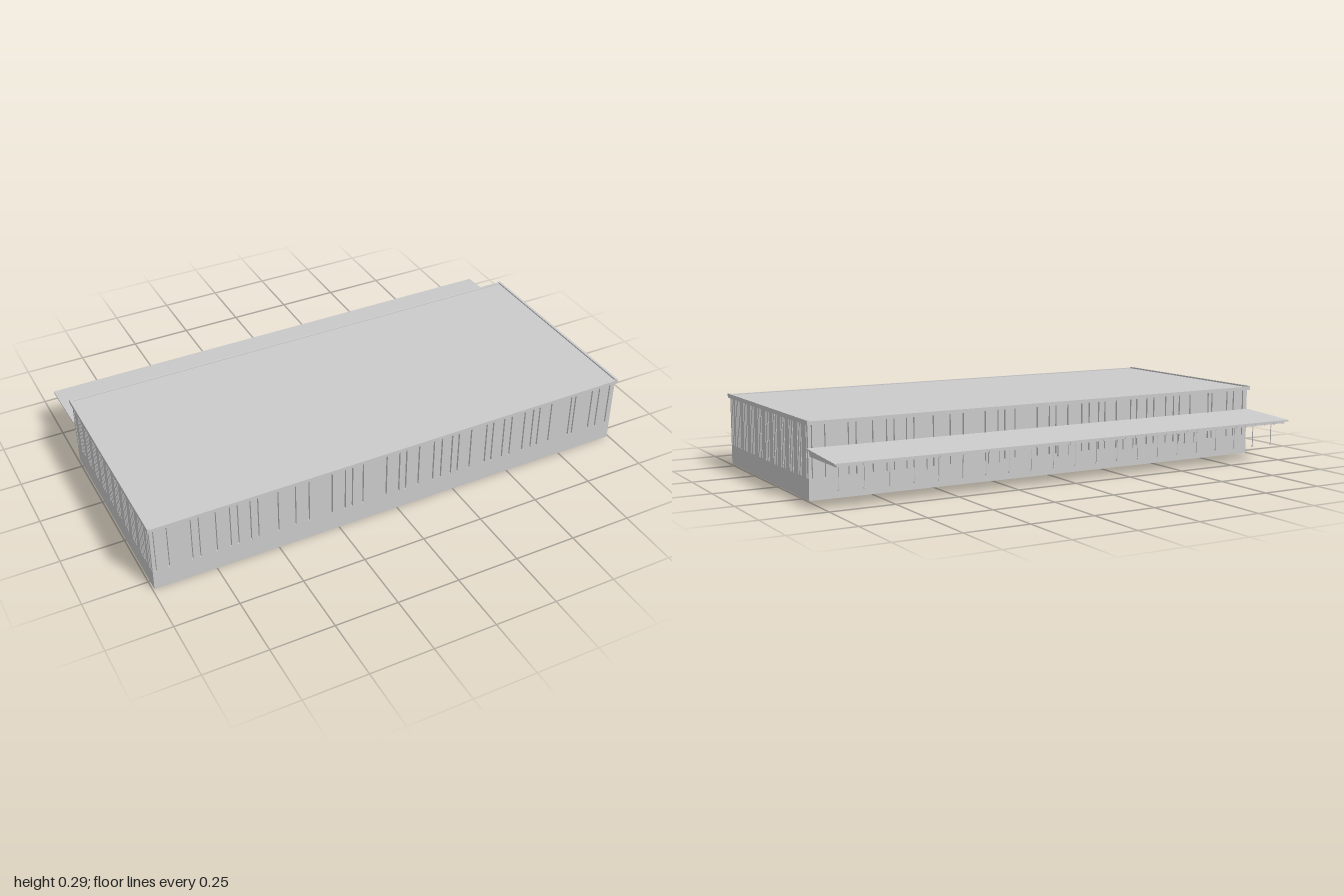
import * as THREE from 'three';

const X = 0.993, ZF = 0.545, ZB = -0.3, BASE = 0.08, TOP = 0.276;
const ZC = (ZF + ZB) / 2, DEPTH = ZF - ZB;

export function createModel() {
  const root = new THREE.Group();
  root.name = 'warehouse';
  const mat = new THREE.MeshStandardMaterial({ color: 0xcccccc, flatShading: true });

  const add = (parent, name, geo, x = 0, y = 0, z = 0) => {
    const m = new THREE.Mesh(geo, mat);
    m.name = name;
    m.position.set(x, y, z);
    parent.add(m);
    return m;
  };
  // box given by its min and max corners
  const box = (parent, name, x0, x1, y0, y1, z0, z1) =>
    add(parent, name, new THREE.BoxGeometry(x1 - x0, y1 - y0, z1 - z0),
      (x0 + x1) / 2, (y0 + y1) / 2, (z0 + z1) / 2);
  const group = (name) => {
    const g = new THREE.Group();
    g.name = name;
    root.add(g);
    return g;
  };

  // One wall, built facing +z with its outer face on z = 0:
  // thin plinth, thicker upper wall and cladding panels split by narrow grooves
  const wall = (name, half, seams) => {
    const g = group(name);
    box(g, 'plinth', -half, half, 0, BASE, -0.015, 0);
    box(g, 'upperWall', -half + 0.01, half - 0.01, BASE, TOP, -0.045, -0.01);
    const gap = 0.003;
    const stops = [-half - gap, ...seams, half + gap];
    for (let i = 0; i < stops.length - 1; i++) {
      box(g, 'claddingPanel', stops[i] + gap, stops[i + 1] - gap, BASE, TOP, -0.011, 0);
    }
    return g;
  };

  const longSeams = [-0.98, -0.93, -0.84, -0.81, -0.745, -0.69, -0.66, -0.61, -0.58, -0.5, -0.43,
    -0.375, -0.28, -0.225, -0.195, -0.15, -0.05, 0.005, 0.035, 0.09, 0.155, 0.19, 0.235, 0.265,
    0.32, 0.39, 0.42, 0.47, 0.505, 0.565, 0.605, 0.635, 0.69, 0.785, 0.805, 0.885, 0.92, 0.97];
  // end walls repeat a bay of three close seams and a wider pair
  const endSeams = [0.53, 0.513, 0.48, 0.463, 0.447, 0.43];
  for (let i = 0; i < 5; i++) {
    const z = 0.383 - i * 0.1667;
    endSeams.push(z, z - 0.018, z - 0.035);
    if (i < 4) endSeams.push(z - 0.083, z - 0.1, z - 0.117);
  }
  const seamsOn = (sign) => endSeams.filter((z) => z > ZB + 0.01 && z < ZF - 0.01)
    .map((z) => sign * (z - ZC)).sort((a, b) => a - b);

  wall('frontWall', X, longSeams).position.z = ZF;
  const back = wall('backWall', X, longSeams);
  back.rotation.y = Math.PI;
  back.position.z = ZB;
  for (const s of [1, -1]) {
    const end = wall(s > 0 ? 'leftWall' : 'rightWall', DEPTH / 2, seamsOn(-s));
    end.rotation.y = s * Math.PI / 2;
    end.position.set(s * X, 0, ZC);
  }

  // Flat roof with a low raised edge
  const roof = group('roof');
  box(roof, 'roofDeck', -0.992, 0.992, 0.272, 0.284, ZB - 0.004, ZF + 0.004);
  for (const s of [-1, 1]) {
    const x = s * 0.995;
    box(roof, 'sideEdge', x - 0.005, x + 0.005, 0.273, 0.29, ZB - 0.012, ZF + 0.01);
  }
  box(roof, 'frontEdge', -0.99, 0.99, 0.273, 0.287, ZF, ZF + 0.01);
  box(roof, 'backEdge', -0.99, 0.99, 0.273, 0.287, ZB - 0.012, ZB);

  // Sloped canopy: (z, y) profiles extruded along x
  const canopy = group('canopy');
  const alongX = (name, pts, width, x) => {
    const shape = new THREE.Shape(pts.map((p) => new THREE.Vector2(...p)));
    const geo = new THREE.ExtrudeGeometry(shape, { depth: width, bevelEnabled: false });
    geo.translate(0, 0, -width / 2).rotateY(-Math.PI / 2);
    return add(canopy, name, geo, x);
  };
  alongX('canopySheet', [[-0.555, 0.169], [ZB, 0.184], [ZB, 0.19], [-0.555, 0.175]], 2, 0);
  const rafter = [[-0.545, 0.16], [ZB, 0.16], [ZB, 0.185], [-0.545, 0.171]];
  const rafters = 40;
  for (let i = 0; i <= rafters; i++) {
    alongX('rafter', rafter, 0.008, -0.985 + (i * 1.97) / rafters);
  }
  for (let i = 0; i < 5; i++) {
    const z = -0.54 + i * 0.058;
    box(canopy, 'purlin', -0.985, 0.985, 0.161, 0.17, z - 0.004, z + 0.004);
  }

  // Row of slender hangers with a small disc at the lower end
  const hangers = group('hangers');
  const rod = new THREE.CylinderGeometry(0.002, 0.002, 0.092, 6);
  const disc = new THREE.CylinderGeometry(0.005, 0.005, 0.004, 8);
  for (let i = 0; i < 21; i++) {
    const x = -0.96 + i * 0.096;
    add(hangers, 'hangerRod', rod, x, 0.116, -0.495);
    add(hangers, 'hangerDisc', disc, x, 0.07, -0.495);
  }

  // Framed loading doors along the back
  const doors = group('loadingDoors');
  for (let i = 0; i < 5; i++) {
    const x = 0.55 - i * 0.31, z0 = ZB - 0.008;
    box(doors, 'doorLeaf', x - 0.02, x + 0.02, 0.07, 0.14, ZB - 0.003, ZB);
    for (const s of [-1, 1]) {
      box(doors, 'doorJamb', x + s * 0.024 - 0.004, x + s * 0.024 + 0.004, 0.07, 0.14, z0, ZB);
    }
    box(doors, 'doorHead', x - 0.03, x + 0.03, 0.14, 0.15, z0 - 0.004, ZB);
  }
  return root;
}
